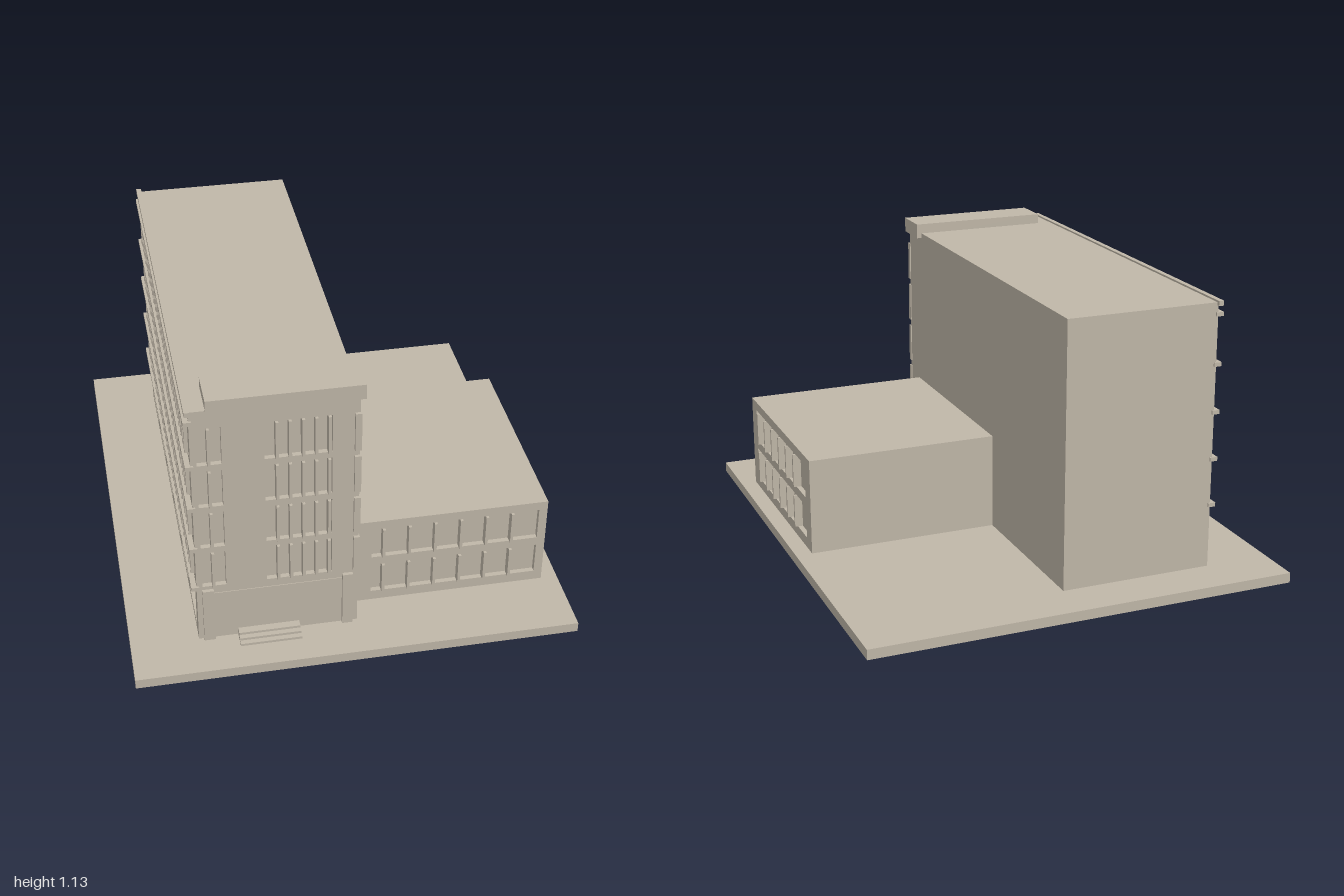
import * as THREE from 'three';

const stone = new THREE.MeshStandardMaterial({ color: 0xc0b7a8 });
stone.name = 'warm stone';
const RECESS = 0.02; // depth of window openings
const PROUD = 0.012; // projection of mullions and pillars

// Box given by its lower and upper limits on each axis
function block(parent, name, x0, x1, y0, y1, z0, z1) {
  const mesh = new THREE.Mesh(new THREE.BoxGeometry(x1 - x0, y1 - y0, z1 - z0), stone);
  mesh.position.set((x0 + x1) / 2, (y0 + y1) / 2, (z0 + z1) / 2);
  mesh.name = name;
  parent.add(mesh);
  return mesh;
}

// Wall slab with rectangular openings; each opening may carry projecting mullions
function facade(name, u0, u1, v0, v1, openings) {
  const group = new THREE.Group();
  group.name = name;
  const rect = (target, a, b, c, d) => {
    target.moveTo(a, c);
    target.lineTo(b, c);
    target.lineTo(b, d);
    target.lineTo(a, d);
    target.closePath();
    return target;
  };
  const shape = rect(new THREE.Shape(), u0, u1, v0, v1);
  for (const { a, b, c, d, bars = [], w = 0.011 } of openings) {
    shape.holes.push(rect(new THREE.Path(), a, b, c, d));
    for (const u of bars) block(group, 'mullion', u - w / 2, u + w / 2, c, d, 0, RECESS + PROUD);
  }
  const wall = new THREE.Mesh(
    new THREE.ExtrudeGeometry(shape, { depth: RECESS, bevelEnabled: false }), stone);
  wall.name = 'wall';
  group.add(wall);
  return group;
}

const spaced = (start, step, count) => Array.from({ length: count }, (_, i) => start + i * step);

export function createModel() {
  const model = new THREE.Group();
  model.name = 'officeBuilding';

  block(model, 'basePlate', -0.85, 0.85, 0, 0.04, -1, 1);

  // Tower core and roof
  const tower = new THREE.Group();
  tower.name = 'tower';
  model.add(tower);
  block(tower, 'towerCore', -0.59 + RECESS, 0.02, 0.04, 1.09, -0.82, 0.82 - RECESS);
  block(tower, 'roofBlock', -0.53, 0.04, 1.07, 1.13, 0.67, 0.822);

  // Tower front: four rows of windows over a shallow entrance recess
  const rows = [[0.295, 0.455], [0.48, 0.64], [0.668, 0.828], [0.855, 1.015]];
  const frontOpenings = rows.flatMap(([c, d]) => [
    { a: -0.567, b: -0.478, c, d, bars: [-0.525] },
    { a: -0.325, b: -0.08, c, d, bars: spaced(-0.281, 0.0475, 5) },
  ]);
  const front = facade('towerFront', -0.59, 0.02, 0.04, 1.09, frontOpenings);
  front.position.z = 0.82 - RECESS;
  tower.add(front);
  for (const [c, d] of rows) block(tower, 'cornerFin', 0, 0.024, c, d, 0.81, 0.832);

  // Entrance
  block(tower, 'entranceLintel', -0.527, -0.04, 0.255, 0.26, 0.81, 0.823);
  block(tower, 'entrancePillar', -0.57, -0.527, 0.04, 0.28, 0.81, 0.834);
  block(tower, 'entrancePillar', -0.04, 0, 0.04, 0.28, 0.81, 0.834);
  for (let i = 0; i < 3; i++) {
    block(tower, 'entranceStep', -0.44, -0.205, 0.04 + i * 0.01, 0.05 + i * 0.01, 0.81, 0.89 - i * 0.02);
  }

  // Tower long side: ground-floor openings and ribbon windows between ledges
  const ledges = [0.293, 0.478, 0.665, 0.852, 1.045];
  const sideOpenings = spaced(-0.775, 0.266, 6).map((a) => ({ a, b: a + 0.21, c: 0.065, d: 0.25 }));
  for (let i = 0; i < 4; i++) {
    sideOpenings.push({
      a: -0.79, b: 0.775, c: ledges[i] + 0.02, d: ledges[i + 1] - 0.022,
      bars: spaced(-0.745, 0.0533, 29), w: 0.016,
    });
  }
  const side = facade('towerLongSide', -0.82, 0.82 - RECESS, 0.04, 1.09, sideOpenings);
  side.rotation.y = -Math.PI / 2;
  side.position.x = -0.59 + RECESS;
  tower.add(side);
  for (const y of ledges) block(tower, 'ledge', -0.61, -0.58, y - 0.008, y + 0.008, -0.826, 0.828);
  block(tower, 'roofLedge', -0.605, -0.585, 1.078, 1.097, -0.832, 0.832);

  // Low wing
  const wing = new THREE.Group();
  wing.name = 'wing';
  model.add(wing);
  block(wing, 'wingCore', 0.02, 0.785 - RECESS, 0.04, 0.425, -0.13, 0.72 - RECESS);
  const wingRows = [[0.082, 0.215], [0.252, 0.388]];

  const wingFront = facade('wingFront', 0.02, 0.785, 0.04, 0.425,
    wingRows.map(([c, d]) => ({ a: 0.095, b: 0.752, c, d, bars: spaced(0.141, 0.101, 6) })));
  wingFront.position.z = 0.72 - RECESS;
  wing.add(wingFront);

  const wingSide = facade('wingSide', -0.72 + RECESS, 0.13, 0.04, 0.425,
    wingRows.map(([c, d]) => ({ a: -0.655, b: 0.065, c, d, bars: spaced(-0.602, 0.1075, 6) })));
  wingSide.rotation.y = Math.PI / 2;
  wingSide.position.x = 0.785 - RECESS;
  wing.add(wingSide);

  return model;
}
